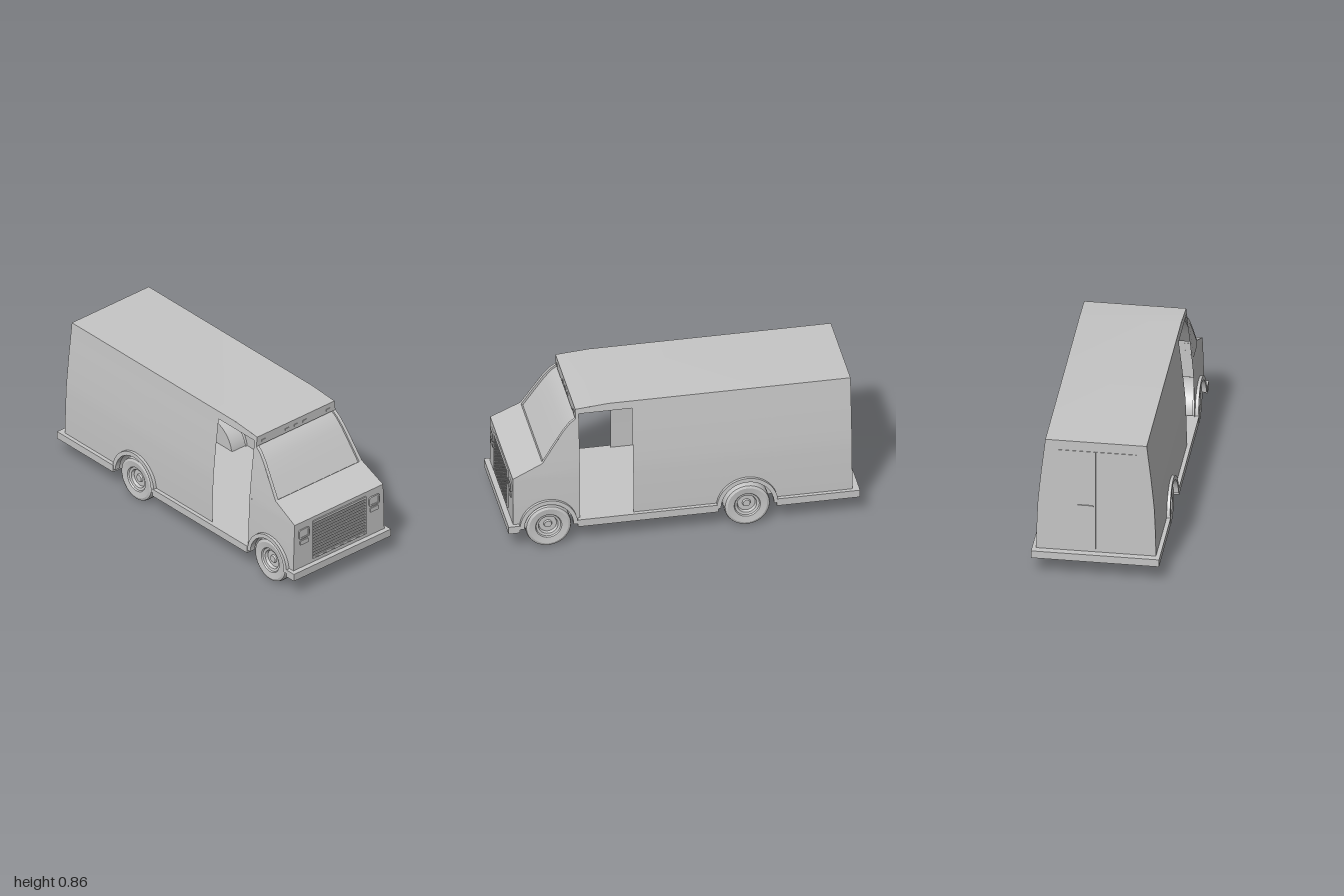
import * as THREE from 'three';
import { toCreasedNormals } from 'three/addons/utils/BufferGeometryUtils.js';

const paint = new THREE.MeshStandardMaterial({ color: 0xc6c6c6, side: THREE.DoubleSide });
paint.name = 'light grey';

// Linear interpolation through [key, value] pairs
const lerp = (pts) => (t) => {
  let i = 1;
  while (i < pts.length - 1 && t > pts[i][0]) i++;
  const [a, b] = [pts[i - 1], pts[i]];
  return a[1] + ((b[1] - a[1]) * (t - a[0])) / (b[0] - a[0]);
};

const SILL = 0.155, AXLE = 0.13;
const REAR = { x: -0.36, top: 0.305 }, FRONT = { x: 0.77, top: 0.295 };
const halfWidth = lerp([[0.11, 0.339], [0.3, 0.335], [0.45, 0.329], [0.53, 0.322], [0.66, 0.309], [0.78, 0.295], [0.86, 0.286]]);
const roofY = lerp([[-0.96, 0.86], [0.42, 0.86], [0.605, 0.845]]);
const screen = [[0.607, 0.785], [0.64, 0.76], [0.68, 0.712], [0.74, 0.622], [0.8, 0.53]];
const noseY = lerp([...screen, [0.97, 0.45]]);

// Lower edge of a side panel, cut away over a wheel
const archY = (wheel) => (x) => {
  const r = wheel.top - AXLE - 0.015, d = x - wheel.x;
  return Math.max(SILL, Math.abs(d) < r ? AXLE + Math.sqrt(r * r - d * d) : 0);
};

// Grid surface from a function of u, v in 0..1
function grid(nu, nv, f, crease = 0.3) {
  const pos = [], idx = [];
  for (let i = 0; i <= nu; i++) for (let j = 0; j <= nv; j++) pos.push(...f(i / nu, j / nv));
  for (let i = 0; i < nu; i++) for (let j = 0; j < nv; j++) {
    const a = i * (nv + 1) + j, b = a + nv + 1;
    idx.push(a, b, b + 1, a, b + 1, a + 1);
  }
  const g = new THREE.BufferGeometry();
  g.setAttribute('position', new THREE.Float32BufferAttribute(pos, 3));
  g.setIndex(idx);
  return toCreasedNormals(g, crease);
}

// Leaning side panel between two edge curves
const sidePanel = (side, x0, x1, low, high, out = 0, n = 60) => grid(n, 14, (u, v) => {
  const x = x0 + (x1 - x0) * u, y = low(x) + (high(x) - low(x)) * v;
  return [x, y, side * (halfWidth(y) + out)];
});

// Surface following an x,y profile, from k0 to k1 of the local half width
const crossBand = (pts, k0 = -1, k1 = 1, sink = 0) => grid(pts.length - 1, 1, (u, v) => {
  const [x, y] = pts[Math.round(u * (pts.length - 1))];
  return [x - sink, y - sink * 0.7, halfWidth(y) * (k0 + (k1 - k0) * v)];
}, 0.5);

// Upright rounded plate facing +x
function plate(w, h, depth, r, hole) {
  const rect = (C, a, b, q) => {
    const s = new C();
    s.moveTo(-a + q, -b).lineTo(a - q, -b).quadraticCurveTo(a, -b, a, -b + q);
    s.lineTo(a, b - q).quadraticCurveTo(a, b, a - q, b);
    s.lineTo(-a + q, b).quadraticCurveTo(-a, b, -a, b - q);
    s.lineTo(-a, -b + q).quadraticCurveTo(-a, -b, -a + q, -b);
    return s;
  };
  const shape = rect(THREE.Shape, w / 2, h / 2, r);
  if (hole) shape.holes.push(rect(THREE.Path, w / 2 - hole, h / 2 - hole, r * 0.6));
  return new THREE.ExtrudeGeometry(shape, { depth, bevelEnabled: false, curveSegments: 4 }).rotateY(Math.PI / 2);
}

export function createModel() {
  const model = new THREE.Group();
  const add = (name, geo, x = 0, y = 0, z = 0) => {
    const m = new THREE.Mesh(geo, paint);
    m.name = name;
    m.position.set(x, y, z);
    model.add(m);
    return m;
  };

  // Floor and bumper slab, notched around the wheels
  const s = new THREE.Shape();
  const W = 0.361, IN = 0.232;
  s.moveTo(-1, -W);
  for (const w of [REAR, FRONT]) s.lineTo(w.x - 0.166, -W).lineTo(w.x - 0.166, -IN).lineTo(w.x + 0.166, -IN).lineTo(w.x + 0.166, -W);
  s.lineTo(1, -W).lineTo(1, W);
  for (const w of [FRONT, REAR]) s.lineTo(w.x + 0.166, W).lineTo(w.x + 0.166, IN).lineTo(w.x - 0.166, IN).lineTo(w.x - 0.166, W);
  s.lineTo(-1, W);
  add('floorAndBumpers', new THREE.ExtrudeGeometry(s, { depth: 0.045, bevelEnabled: false }).rotateX(Math.PI / 2), 0, SILL, 0);

  // Side walls with an open doorway on each side
  for (const side of [1, -1]) {
    add('cargoSide', sidePanel(side, -0.96, 0.285, archY(REAR), roofY, 0, 150));
    add('doorHeader', sidePanel(side, 0.285, 0.588, () => 0.815, roofY, 0, 10));
    add('doorPillar', sidePanel(side, 0.588, 0.607, archY(FRONT), roofY, 0, 2));
    add('cabSide', sidePanel(side, 0.607, 0.97, archY(FRONT), noseY));
    add('quarterWindow', sidePanel(side, 0.622, 0.765, () => 0.515, (x) => noseY(x) - 0.03, 0.003, 20));
  }

  // Roof, brow, hood, nose and back wall
  add('roof', crossBand([[-0.96, 0.86], [0.42, 0.86], [0.607, 0.845]]));
  add('brow', crossBand([[0.607, 0.845], [0.607, 0.785]]));
  add('hood', crossBand([[0.8, 0.53], [0.97, 0.45]]));
  add('nose', crossBand([[0.97, 0.45], [0.97, 0.3], [0.97, SILL]]));
  add('backWall', crossBand([0.86, 0.78, 0.66, 0.53, 0.45, 0.3, SILL].map((y) => [-0.96, y])));

  // Windscreen, set slightly into its pillars
  const sink = 0.01, K = 0.935;
  add('windscreen', crossBand(screen, -K, K, sink));
  for (const side of [1, -1]) {
    add('windscreenPillar', crossBand(screen, side * K, side));
    add('windscreenReveal', grid(screen.length - 1, 1, (u, v) => {
      const [x, y] = screen[Math.round(u * (screen.length - 1))];
      return [x - sink * v, y - sink * 0.7 * v, side * K * halfWidth(y)];
    }));
  }
  for (const [x, y] of [screen[0], screen[4]]) {
    add('windscreenLedge', grid(1, 1, (u, v) => [x - sink * u, y - sink * 0.7 * u, (v * 2 - 1) * K * halfWidth(y)]));
  }

  // Grille with slats
  add('grilleFrame', plate(0.396, 0.246, 0.009, 0.002, 0.006), 0.969, 0.303, 0);
  for (let i = 0; i < 13; i++) add('grilleSlat', plate(0.386, 0.01, 0.009, 0.004), 0.968, 0.191 + i * 0.0187, 0);

  // Headlights and indicators
  for (const side of [1, -1]) {
    add('headlightFrame', plate(0.078, 0.061, 0.009, 0.014, 0.009), 0.969, 0.375, side * 0.261);
    add('headlight', plate(0.056, 0.048, 0.004, 0.006), 0.969, 0.375, side * 0.261);
    add('indicator', plate(0.061, 0.027, 0.007, 0.006), 0.969, 0.319, side * 0.261);
  }

  // Marker lamps on the brow
  for (const z of [-0.24, -0.065, 0, 0.065, 0.24]) add('markerLamp', plate(0.031, 0.015, 0.005, 0.005), 0.606, 0.808, z);

  // Rear door leaves and handle
  for (const side of [1, -1]) add('rearDoor', plate(0.226, 0.63, 0.004, 0.003), -0.963, 0.485, side * 0.1145);
  add('rearHandle', plate(0.09, 0.01, 0.007, 0.003), -0.969, 0.45, -0.06);

  // Wheels, arch flares and wheel wells
  const wheelProfile = [[0, 0.024], [0.02, 0.024], [0.024, 0.014], [0.05, 0.014], [0.056, 0.03], [0.07, 0.034], [0.075, 0.042],
    [0.112, 0.047], [0.126, 0.041], [0.13, 0.03], [0.13, -0.03], [0.126, -0.041], [0.112, -0.047], [0, -0.047]];
  const wheelGeo = toCreasedNormals(new THREE.LatheGeometry(wheelProfile.map((p) => new THREE.Vector2(...p)), 36).rotateX(Math.PI / 2), 0.5);
  for (const w of [REAR, FRONT]) {
    const r = w.top - AXLE;
    for (const side of [1, -1]) {
      add('wheel', wheelGeo, w.x, AXLE, side > 0 ? 0.293 : -0.309).rotation.y = side > 0 ? 0 : Math.PI;

      // Flare leans out towards the sill
      const arc = (rad, a, z) => [Math.cos(a) * rad, Math.sin(a) * rad, side * (z - 0.05 * Math.sin(a) * rad)];
      const ring = [[r, 0.325], [r, 0.36], [r - 0.024, 0.36], [r - 0.024, 0.325]];
      add('archFlare', grid(28, 3, (u, v) => {
        const [rad, z] = ring[Math.round(v * 3)];
        return arc(rad, Math.PI * u, z);
      }, 0.5), w.x, AXLE, 0);

      const well = r - 0.012;
      add('wheelWell', new THREE.CylinderGeometry(well, well, 0.1, 28, 1, true, Math.PI / 2, Math.PI).rotateX(Math.PI / 2), w.x, AXLE, side * 0.282);
      add('wheelWellWall', new THREE.CircleGeometry(well, 28, 0, Math.PI), w.x, AXLE, side * 0.232);
    }
  }
  return model;
}
